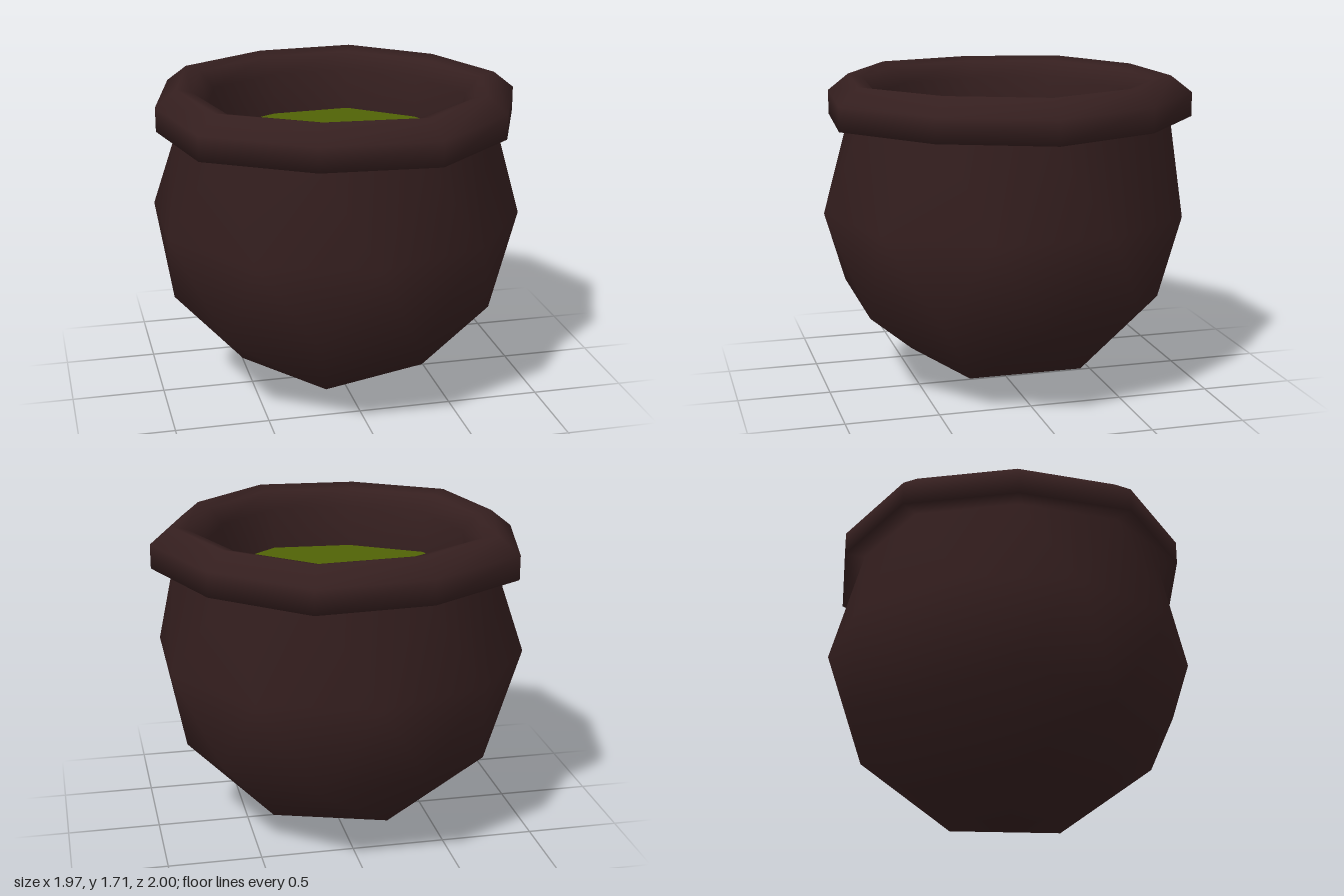
import * as THREE from 'three';
import { mergeGeometries, mergeVertices } from 'three/addons/utils/BufferGeometryUtils.js';

const iron = new THREE.MeshStandardMaterial({ color: 0x351f1f });
iron.name = 'dark brown iron';
const brew = new THREE.MeshStandardMaterial({ color: 0x506206 });
brew.name = 'green brew';

const SHIFT = -0.025; // the bowl sits slightly off the rim's centre
const NECK_Y = 1.49;

// Slightly uneven ten-sided outline shared by the rim and the liquid
const HALF = [1, 0.96, 1.02, 0.985, 1.05, 1];
const OUTLINE = Array.from({ length: 10 }, (_, i) => {
  const s = HALF[i <= 5 ? i : 10 - i];
  const a = (i / 10) * Math.PI * 2 + (i % 5 ? 0.015 * Math.sign(5 - i) : 0);
  return [s * Math.cos(a), s * Math.sin(a)];
});

// Rim: a ledge from the bowl's neck, then a [radius, height] profile around the outline
function rim(profile) {
  const pos = [], index = [], m = profile.length + 1;
  OUTLINE.forEach(([cx, cz], i) => {
    const a = (i / 10) * Math.PI * 2, r = i % 2 ? 0.85065 : 0.89443;
    pos.push(r * Math.cos(a) + SHIFT, NECK_Y, r * Math.sin(a));
    for (const [pr, y] of profile) pos.push(pr * cx, y, pr * cz);
  });
  for (let i = 0; i < 10; i++) {
    const n = (i + 1) % 10;
    for (let j = 0; j < m - 1; j++) {
      const a = i * m + j, b = n * m + j;
      index.push(a, a + 1, b, b, a + 1, b + 1);
    }
  }
  const geo = new THREE.BufferGeometry();
  geo.setAttribute('position', new THREE.Float32BufferAttribute(pos, 3));
  geo.setIndex(index);
  return geo.toNonIndexed();
}

// Faceted ball with its pole at the bottom, cut off level at the neck
function bowl() {
  const ball = new THREE.IcosahedronGeometry(1, 1);
  ball.rotateZ(-Math.atan2(2, 1 + Math.sqrt(5)));
  const p = ball.attributes.position, pos = [];
  for (let f = 0; f < p.count; f += 3) {
    if (Math.max(p.getY(f), p.getY(f + 1), p.getY(f + 2)) > 0.6) continue;
    for (let k = f; k < f + 3; k++) {
      const y = p.getY(k);
      pos.push(p.getX(k) + SHIFT, y > 0.4 ? NECK_Y : y + 1, p.getZ(k));
    }
  }
  const geo = new THREE.BufferGeometry();
  geo.setAttribute('position', new THREE.Float32BufferAttribute(pos, 3));
  return geo;
}

export function createModel() {
  const group = new THREE.Group();
  group.name = 'cauldron';
  const add = (name, geo, mat) => {
    const mesh = new THREE.Mesh(geo, mat);
    mesh.name = name;
    group.add(mesh);
  };

  // Bowl and rounded lip welded together so the shading flows across the neck
  const lip = rim([[0.983, NECK_Y], [0.983, 1.62], [0.87, 1.71], [0.79, 1.69], [0.71, 1.6], [0.71, 1.34]]);
  const pot = mergeVertices(mergeGeometries([bowl(), lip]), 1e-3);
  pot.computeVertexNormals();
  add('bowlAndRim', pot, iron);

  // Liquid surface fills the inside of the rim
  const shape = new THREE.Shape(OUTLINE.map(([x, z]) => new THREE.Vector2(0.712 * x, -0.712 * z)));
  const liquid = new THREE.ShapeGeometry(shape);
  liquid.rotateX(-Math.PI / 2);
  liquid.translate(0, 1.37, 0);
  add('liquid', liquid, brew);
  return group;
}
